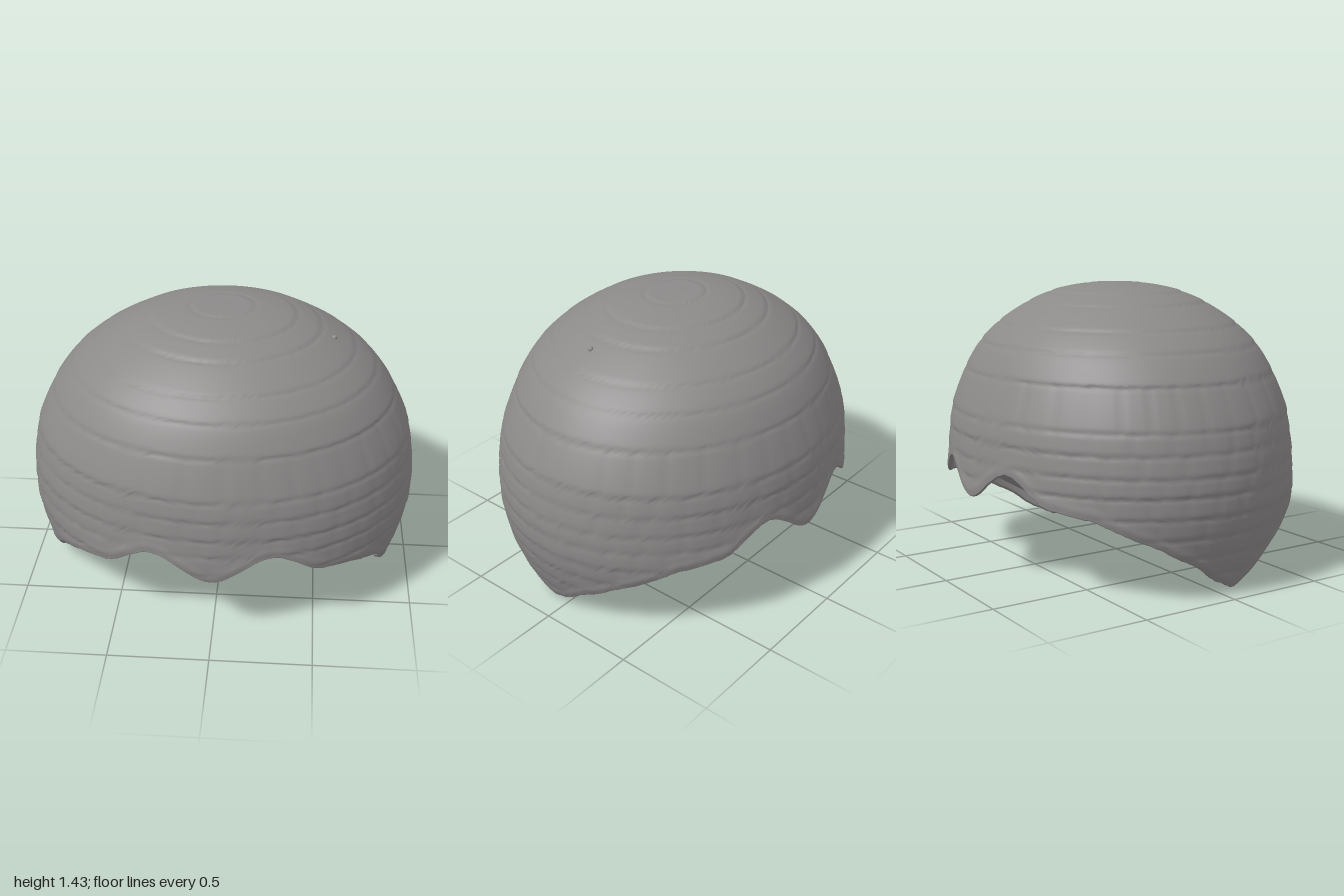
import * as THREE from 'three';

const SEGMENTS = 240;
const stone = new THREE.MeshStandardMaterial({ color: 0x8c8989 });
stone.name = 'warm grey';

// Interpolate through sorted [x, y] pairs, eased for rounded waves or linear
function sample(points, x, eased) {
  if (x <= points[0][0]) return points[0][1];
  for (let i = 1; i < points.length; i++) {
    const [x0, y0] = points[i - 1], [x1, y1] = points[i];
    if (x > x1) continue;
    let f = (x - x0) / (x1 - x0);
    f = THREE.MathUtils.lerp(f, f * f * (3 - 2 * f), eased);
    return y0 + (y1 - y0) * f;
  }
  return points[points.length - 1][1];
}

// Dome silhouette: half width and height
const profile = new THREE.CatmullRomCurve3([
  [0.835, -0.04], [0.86, 0], [0.945, 0.2], [0.988, 0.38], [0.996, 0.52], [0.988, 0.65], [0.955, 0.82],
  [0.87, 1.0], [0.785, 1.12], [0.675, 1.22], [0.515, 1.32], [0.36, 1.385], [0.2, 1.42], [0, 1.43],
].map(([r, y]) => new THREE.Vector3(r, y, 0))).getSpacedPoints(500);
const byHeight = profile.map((p) => [p.y, p.x]);
const indexAt = (y) => Math.max(0, profile.findIndex((p) => p.y >= y));
const radiusAt = (y) => sample(byHeight, y, 0);
// Depth against width: the hem flares a little, the crown is rounder
const depthRatio = (y) => 0.855 + 0.014 * (1 - THREE.MathUtils.smoothstep(y, 0.35, 0.6))
  + 0.04 * THREE.MathUtils.smoothstep(y, 0.8, 1.43);

// Scalloped rim height by angle in degrees, from the front round to the back
const rimPoints = [[0, 0.365], [17, 0.5], [34, 0.375], [41, 0.36], [54, 0.3], [65, 0.2], [74, 0.07],
  [81.5, 0], [91, 0.06], [104, 0.185], [118, 0.29], [135, 0.4], [146, 0.425], [163, 0.56], [180, 0.41]];
function rimHeight(t) {
  const deg = Math.abs(THREE.MathUtils.radToDeg(t > Math.PI ? t - 2 * Math.PI : t));
  return sample(rimPoints, deg, deg < 41 || deg > 135 ? 1 : 0.25);
}

// Keel-shaped underside: height by z, two nearly even slopes
const keel = [[-0.86, 0.61], [-0.6, 0.45], [-0.4, 0.34], [-0.2, 0.23], [0.12, 0.04],
  [0.35, 0.23], [0.5, 0.33], [0.8, 0.53], [0.86, 0.57]];
const keelHeight = (z) => sample(keel, z, 0);

// Brick courses, with staggered upright joints in the lower ones
const courses = [0.1, 0.2, 0.3, 0.4, 0.5, 0.59, 0.69, 0.79, 0.99, 1.13, 1.225, 1.33, 1.382, 1.424];
const courseIndex = courses.map(indexAt);
function relief(index, t) {
  let d = 0, course = 0;
  courseIndex.forEach((c, k) => {
    if (index >= c) course = k + 1;
    const gap = index - c;
    // A step under each course, fading out upward
    d -= 0.005 * Math.exp(-(gap * gap) / 8);
    if (gap >= 0) d += 0.004 * Math.exp(-gap / 12);
  });
  if (course < 9) {
    const bricks = 30 + (course % 3) * 3;
    const u = (t / (2 * Math.PI)) * bricks + course * 0.47 + 0.18 * Math.sin(t * 5 + course * 2);
    const joint = Math.abs(u - Math.round(u));
    d -= 0.004 * Math.exp(-Math.pow(joint / 0.09, 2));
    d += 0.002 * Math.sin(Math.floor(u) * 12.9 + course * 7.3);
  }
  return d;
}

// Smooth closed sheet: rows of rings, each point from place(row fraction, angle)
function ringSheet(name, rows, place) {
  const pos = [], idx = [];
  for (let i = 0; i <= rows; i++) {
    for (let j = 0; j < SEGMENTS; j++) pos.push(...place(i / rows, (j / SEGMENTS) * 2 * Math.PI));
  }
  for (let i = 0; i < rows; i++) {
    for (let j = 0; j < SEGMENTS; j++) {
      const k = (j + 1) % SEGMENTS;
      const a = i * SEGMENTS + j, b = i * SEGMENTS + k;
      idx.push(a, b, b + SEGMENTS, a, b + SEGMENTS, a + SEGMENTS);
    }
  }
  const geometry = new THREE.BufferGeometry();
  geometry.setAttribute('position', new THREE.Float32BufferAttribute(pos, 3));
  geometry.setIndex(idx);
  geometry.computeVertexNormals();
  const mesh = new THREE.Mesh(geometry, stone);
  mesh.name = name;
  return mesh;
}

const around = (r, y, t) => [r * Math.sin(t), y, r * depthRatio(y) * Math.cos(t)];

// Where the underside meets the inner wall
function innerEdge(t) {
  let y = 0.4;
  for (let n = 0; n < 8; n++) {
    const z = around(radiusAt(y) - 0.03, y, t)[2];
    y = (y + Math.max(keelHeight(z), rimHeight(t) + 0.015)) / 2;
  }
  return around(radiusAt(y) - 0.03, y, t);
}

export function createModel() {
  const group = new THREE.Group();
  group.name = 'brickDome';

  // Outer shell from the scalloped rim to the crown
  group.add(ringSheet('brickShell', 150, (v, t) => {
    const start = indexAt(rimHeight(t));
    const f = start + (500 - start) * v;
    const i = Math.min(499, Math.floor(f));
    const p = profile[i].clone().lerp(profile[i + 1], f - i);
    const bead = 0.006 * Math.exp(-Math.pow((f - start - 5) / 6, 2));
    const fade = Math.min(1, p.x / 0.1) * Math.min(1, (f - start) / 10);
    const d = (relief(f, t) + bead) * fade;
    const flat = THREE.MathUtils.smoothstep(p.y, 1.0, 1.4);
    return around(p.x + d * (1 - flat), p.y + d * flat, t);
  }));

  // Inner wall down from the underside, then the rounded lip
  group.add(ringSheet('rimLip', 12, (v, t) => {
    const y = profile[indexAt(rimHeight(t))].y;
    if (v <= 0.5) {
      const h = THREE.MathUtils.lerp(innerEdge(t)[1], y + 0.008, v * 2);
      return around(radiusAt(h) - 0.03, h, t);
    }
    const a = (v - 0.5) * 2 * Math.PI;
    return around(radiusAt(y) - 0.015 - 0.015 * Math.cos(a),
      y + 0.008 * Math.max(0, Math.cos(a)) - 0.006 * Math.sin(a), t);
  }));

  // Keel-shaped underside closing the shell, slightly lumpy along its ridge
  group.add(ringSheet('underside', 50, (v, t) => {
    const edge = innerEdge(t);
    const x = edge[0] * v, z = 0.12 + (edge[2] - 0.12) * v;
    const lumps = 0.012 * Math.sin(x * 13 + 1.4 * Math.sin(x * 7)) *
      Math.exp(-Math.pow((z - 0.12) / 0.12, 2)) * (1 - v * v);
    const blend = THREE.MathUtils.smoothstep(v, 0.85, 1);
    return [x, THREE.MathUtils.lerp(keelHeight(z) + lumps, edge[1], blend), z];
  }));

  // Small nub on the upper side
  const nub = new THREE.Mesh(new THREE.SphereGeometry(0.014, 12, 8), stone);
  nub.name = 'nub';
  nub.position.set(0.553, 1.297, 0.065);
  group.add(nub);
  return group;
}
